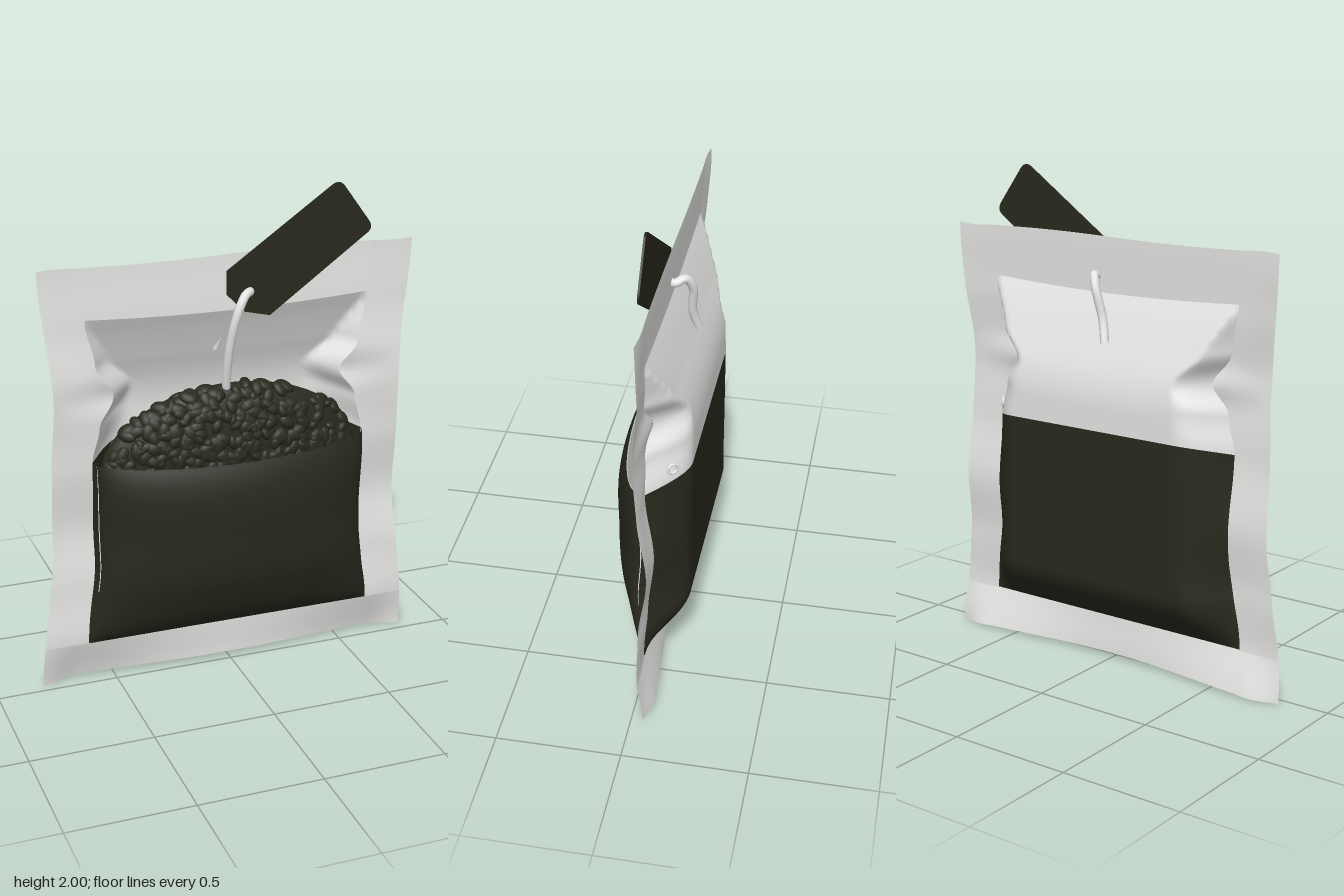
import * as THREE from 'three';
import { mergeGeometries } from 'three/addons/utils/BufferGeometryUtils.js';

const { clamp, lerp, smoothstep } = THREE.MathUtils;

// Smooth lookup through [position, value] pairs
const table = (pts) => (t) => {
  let i = 0;
  while (i < pts.length - 2 && t > pts[i + 1][0]) i++;
  const [a, b] = [pts[i], pts[i + 1]];
  return lerp(a[1], b[1], smoothstep(t, a[0], b[0]));
};

// Half widths of the sheet and of the pouch seam, and the waviness of the sheet in z
const outerRight = table([[0, 0.8], [0.65, 0.752], [1.2, 0.742], [1.745, 0.79]]);
const outerLeft = table([[0, 0.803], [0.65, 0.738], [0.95, 0.735], [1.2, 0.722], [1.745, 0.762]]);
const seam = table([[0, 0.62], [0.17, 0.61], [0.55, 0.568], [0.95, 0.572], [1.1, 0.54],
  [1.22, 0.475], [1.35, 0.55], [1.54, 0.585], [1.745, 0.6]]);
const sheetZ = table([[0, -0.03], [0.2, -0.018], [0.4, -0.03], [0.65, -0.052], [0.95, -0.02],
  [1.25, -0.01], [1.5, -0.025], [1.745, -0.033]]);

const pouchTop = (u) => 1.54 - 0.02 * Math.max(0, 1 - u * u);

// u: -2..2 with the seam at +-1; v: 0..4 with bands rim, pocket, upper pouch, rim
function sheetPoint(u, v) {
  const rows = [0.005 + 0.008 * Math.cos(u * 1.6), 0.17, 0.955, pouchTop(u), 1.745 + 0.005 * Math.sin(u * 3.1)];
  const i = Math.min(3, Math.floor(v));
  const y = lerp(rows[i], rows[i + 1], v - i);
  const s = Math.abs(u), p = seam(y) * (u > 0 ? 1.02 : 1), w = (u > 0 ? outerRight : outerLeft)(y);
  const x = Math.sign(u) * (s <= 1 ? s * p : lerp(p, w, s - 1));
  const pinch = Math.exp(-(((y - 1.22) / 0.05) ** 2)) * clamp(2 - s, 0, 1) * clamp(s * 3 - 2, 0, 1);
  const curl = Math.max(0, 1 - y / 0.17) * Math.sin((Math.PI * s) / 2.4) ** 2;
  const z = sheetZ(y) - 0.022 * pinch - 0.045 * curl + 0.006 * Math.sin(y * 9 + u * 2) * clamp(s - 1, 0, 1);
  return [x, y, z];
}

// Back pouch: flat back, rounded shoulders and diagonal folds in the top corners
function backPoint(u, v) {
  const [x, y, z] = sheetPoint(u, v);
  const ease = (t) => Math.sin((Math.PI / 2) * clamp(t, 0, 1));
  const side = ease((1 - Math.abs(u)) / 0.32);
  const depth = Math.min(side, ease((pouchTop(u) - y) / 0.46)) * ease((y - 0.17) / 0.21);
  const lift = 0.04 * side * Math.max(0, 1 - Math.abs(v - 2) * 1.5);
  return [x, y + lift, lerp(z, -0.17, depth)];
}

// Front pocket: lens-shaped pillow with an open top
function frontPoint(u, v) {
  const [x, y0, z] = sheetPoint(u, v);
  const y = y0 - 0.025 * (1 - u * u) * (v - 1);
  const rise = y < 0.65 ? Math.sin((Math.PI / 2) * clamp((y - 0.17) / 0.48, 0, 1)) ** 0.7
    : 1 - 0.4 * ((y - 0.65) / 0.3) ** 2;
  return [x, y, z + 0.004 + 0.218 * rise * Math.max(0, 1 - u * u) ** 0.4];
}

// Pale lining just inside the pocket
function liningPoint(u, v) {
  const [x, y, z] = frontPoint(u, v);
  return [x, y, z - 0.006];
}

// Grid surface over a u, v range, facing +z unless flipped
function patch(fn, [u0, u1], [v0, v1], nu, nv, flip) {
  const pos = [], idx = [];
  for (let j = 0; j <= nv; j++)
    for (let i = 0; i <= nu; i++) pos.push(...fn(lerp(u0, u1, i / nu), lerp(v0, v1, j / nv)));
  for (let j = 0; j < nv; j++)
    for (let i = 0; i < nu; i++) {
      const a = j * (nu + 1) + i, b = a + 1, c = a + nu + 1, d = c + 1;
      idx.push(...(flip ? [a, c, b, b, c, d] : [a, b, c, b, d, c]));
    }
  const g = new THREE.BufferGeometry();
  g.setAttribute('position', new THREE.Float32BufferAttribute(pos, 3));
  g.setIndex(idx);
  g.computeVertexNormals();
  return g;
}

export function createModel() {
  const model = new THREE.Group();
  model.name = 'grainPouch';
  const light = new THREE.MeshStandardMaterial({ color: 0xe6e6e4, side: THREE.DoubleSide });
  light.name = 'pale film';
  const dark = new THREE.MeshStandardMaterial({ color: 0x29291e, side: THREE.DoubleSide });
  dark.name = 'dark olive';

  const add = (name, geometry, material) => {
    const mesh = new THREE.Mesh(geometry, material);
    mesh.name = name;
    model.add(mesh);
    return mesh;
  };

  // Flat border around the pouch
  add('rimLeft', patch(sheetPoint, [1, 2], [0, 4], 10, 96, false), light);
  add('rimRight', patch(sheetPoint, [-2, -1], [0, 4], 10, 96, false), light);
  add('rimBottom', patch(sheetPoint, [-1, 1], [0, 1], 40, 8, false), light);
  add('rimTop', patch(sheetPoint, [-1, 1], [3, 4], 40, 8, false), light);

  // Pouch walls
  add('upperPouch', patch(backPoint, [-1, 1], [2, 3], 64, 40, true), light);
  add('lowerPouch', patch(backPoint, [-1, 1], [1, 2], 64, 40, true), dark);
  add('frontPocket', patch(frontPoint, [-1, 1], [1, 2], 80, 40, false), dark);
  add('pocketLining', patch(liningPoint, [-0.985, 0.985], [1.3, 1.995], 64, 24, true), light);

  // Heap of grains
  const centre = new THREE.Vector3(0.01, 0.88, -0.035), radii = new THREE.Vector3(0.55, 0.335, 0.108);
  const heap = new THREE.SphereGeometry(1, 40, 24);
  heap.scale(radii.x, radii.y, radii.z);
  heap.translate(centre.x, centre.y, centre.z);
  add('grainHeap', heap, dark);

  let seed = 7;
  const rand = () => (seed = (seed * 16807) % 2147483647) / 2147483647;
  const grains = [], bean = new THREE.SphereGeometry(1, 10, 7);
  const up = new THREE.Vector3(0, 0, 1);
  for (let i = 0; i < 300; i++) {
    // Spread evenly over the heap as seen from the front, with a few on the far side
    const a = Math.PI * (rand() * 0.98 + 0.01), r = Math.sqrt(rand());
    const dir = new THREE.Vector3(Math.cos(a) * r, Math.sin(a) * r, Math.sqrt(1 - r * r));
    if (i % 6 === 0) dir.z *= -0.7;
    const normal = dir.clone().divide(radii).normalize();
    const q = new THREE.Quaternion().setFromUnitVectors(up, normal)
      .multiply(new THREE.Quaternion().setFromAxisAngle(up, rand() * Math.PI));
    const k = 0.7 + rand() * 0.5;
    const m = new THREE.Matrix4().compose(dir.multiply(radii).add(centre), q,
      new THREE.Vector3(0.036 * k, 0.024 * k, 0.017));
    grains.push(bean.clone().applyMatrix4(m));
  }
  add('grains', mergeGeometries(grains), dark);

  // Hanging tag with clipped end, rounded far corners and a string hole
  const tag = new THREE.Shape();
  tag.moveTo(-0.015, 1.685);
  tag.lineTo(-0.015, 1.59);
  tag.lineTo(0.06, 1.515);
  tag.lineTo(0.165, 1.49);
  tag.lineTo(0.575, 1.785);
  tag.quadraticCurveTo(0.605, 1.805, 0.585, 1.835);
  tag.lineTo(0.475, 1.985);
  tag.quadraticCurveTo(0.455, 2.01, 0.425, 1.99);
  tag.closePath();
  const hole = new THREE.Path();
  hole.absarc(0.08, 1.595, 0.018, 0, Math.PI * 2, true);
  tag.holes.push(hole);
  const tagGeometry = new THREE.ExtrudeGeometry(tag, { depth: 0.008, bevelEnabled: false });
  tagGeometry.translate(0, 0, -0.008);
  add('tag', tagGeometry, dark);

  // String from the heap, through the tag and over to the back of the pouch
  const cord = new THREE.CatmullRomCurve3([
    [-0.01, 1.16, -0.03], [-0.015, 1.26, -0.005], [-0.01, 1.4, 0.025], [0.015, 1.53, 0.045], [0.05, 1.59, 0.03],
    [0.08, 1.595, 0], [0.075, 1.585, -0.04], [0.055, 1.597, -0.075], [0.03, 1.55, -0.1],
    [0, 1.43, -0.095], [-0.025, 1.34, -0.115],
  ].map((p) => new THREE.Vector3(...p)));
  add('string', new THREE.TubeGeometry(cord, 80, 0.018, 10), light);

  // Small side loop at the pocket edge
  const loop = add('sideLoop', new THREE.TorusGeometry(0.02, 0.006, 8, 20), light);
  loop.position.set(0.5, 1.03, -0.11);
  loop.rotation.y = Math.PI / 2 + 0.6;

  return model;
}
